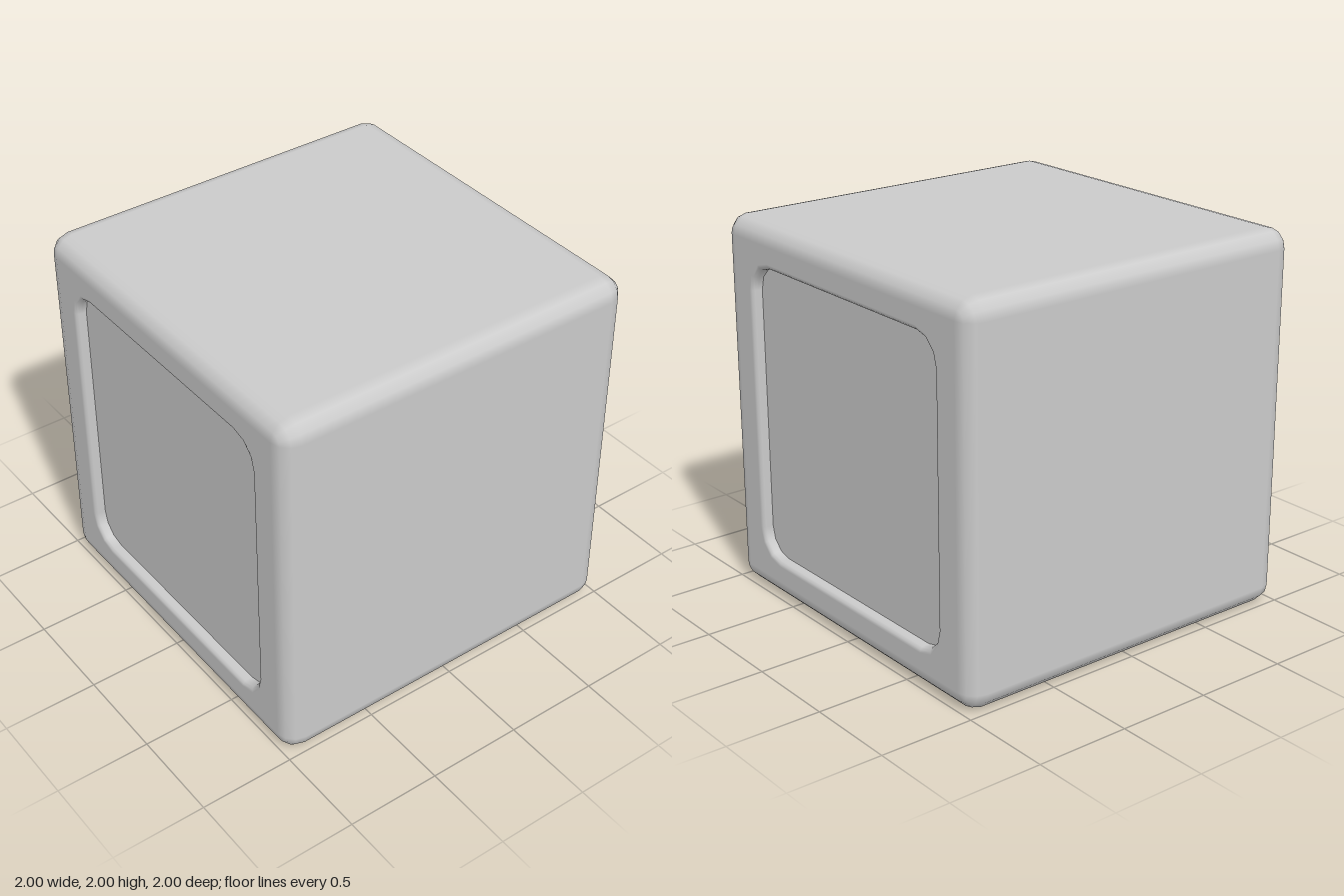
import * as THREE from 'three';

const CORNER_STEPS = 3; // facets per rounded corner
const EDGE = 0.1; // outer edge radius
const LIP = 0.03; // rounding of the recess rim
const FLOOR = 0.945; // x of the recessed panels

// One rounded-rectangle ring across the x axis:
// corner centres at (cy, cz), corner radius r, normal split into nx and nr.
const ring = (x, cy, cz, r, nx, nr) => ({ x, cy, cz, r, nx, nr });
const mirrored = (rings) => rings.map((s) => ({ ...s, x: -s.x, nx: -s.nx })).reverse();

// Skin a list of rings that runs from +x towards -x.
function loft(rings) {
  const pos = [], nor = [], idx = [];
  const n = 4 * (CORNER_STEPS + 1);
  for (const s of rings) {
    for (let k = 0; k < 4; k++) {
      const sy = k === 0 || k === 3 ? 1 : -1;
      const sz = k < 2 ? 1 : -1;
      for (let j = 0; j <= CORNER_STEPS; j++) {
        const a = (k + j / CORNER_STEPS) * Math.PI / 2;
        const c = Math.cos(a), d = Math.sin(a);
        pos.push(s.x, sy * s.cy + s.r * c, sz * s.cz + s.r * d);
        nor.push(s.nx, s.nr * c, s.nr * d);
      }
    }
  }
  for (let i = 0; i < rings.length - 1; i++) {
    for (let j = 0; j < n; j++) {
      const a = i * n + j, b = i * n + (j + 1) % n;
      idx.push(a, a + n, b, b, a + n, b + n);
    }
  }
  const geo = new THREE.BufferGeometry();
  geo.setAttribute('position', new THREE.Float32BufferAttribute(pos, 3));
  geo.setAttribute('normal', new THREE.Float32BufferAttribute(nor, 3));
  geo.setIndex(idx);
  return geo;
}

export function createModel() {
  const group = new THREE.Group();
  const material = new THREE.MeshStandardMaterial({ color: 0xcccccc });
  const add = (name, rings) => {
    const mesh = new THREE.Mesh(loft(rings), material);
    mesh.name = name;
    mesh.position.y = 1;
    group.add(mesh);
  };

  // Recess opening: corner centres and radius
  const oy = 0.642, oz = 0.61, or = 0.14;

  // Half of the shell: recess wall, rounded rim, side face, rounded outer edge
  const half = [ring(FLOOR, oy, oz, or, 0, -1)];
  for (let i = 0; i <= 3; i++) {
    const a = (1 - i / 3) * Math.PI / 2;
    half.push(ring(1 - LIP + LIP * Math.cos(a), oy, oz, or + LIP * (1 - Math.sin(a)), Math.cos(a), -Math.sin(a)));
  }
  for (let i = 0; i <= 3; i++) {
    const a = (i / 3) * Math.PI / 2;
    half.push(ring(1 - EDGE + EDGE * Math.cos(a), 1 - EDGE, 1 - EDGE, EDGE * Math.sin(a), Math.cos(a), Math.sin(a)));
  }
  add('shell', [...half, ...mirrored(half)]);

  // Flat panels at the bottom of both recesses
  const panel = [ring(FLOOR, 0, 0, 0, 1, 0), ring(FLOOR, oy, oz, or, 1, 0)];
  add('leftPanel', panel);
  add('rightPanel', mirrored(panel));

  return group;
}
